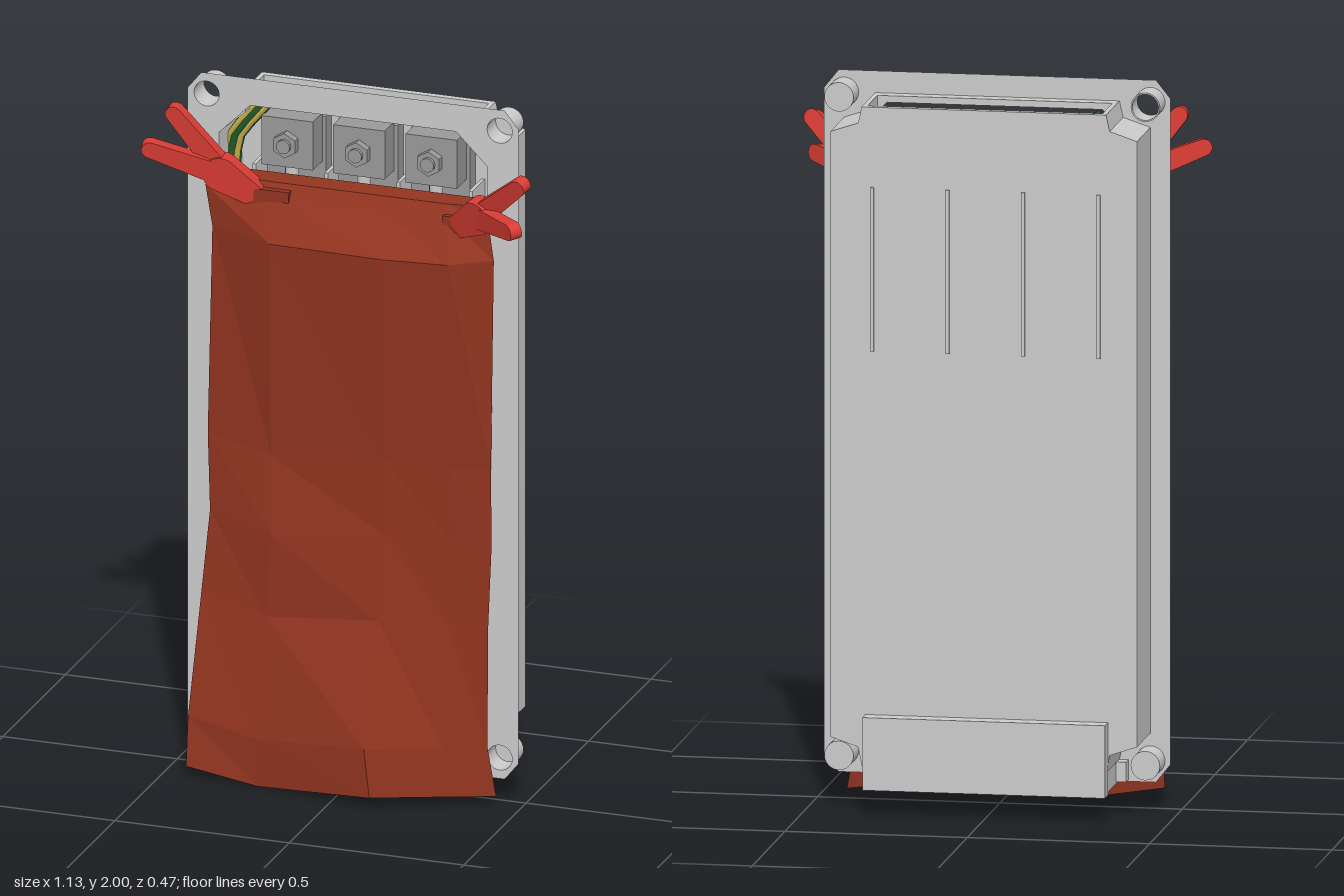
import * as THREE from 'three';

const mat = (color, extra = {}) => new THREE.MeshStandardMaterial({ color, ...extra });
const thin = { side: THREE.DoubleSide };
const grey = mat(0xcccccc, { flatShading: true });
const greyThin = mat(0xcccccc, thin);
const darkGrey = mat(0x999999, { flatShading: true });
const green = mat(0x1f5c2a, thin);
const yellow = mat(0xc8b04a, thin);
const clothRed = mat(0x923420, { flatShading: true, side: THREE.DoubleSide });
const clampRed = mat(0xd83c34, { flatShading: true });
const V = (x, y, z) => new THREE.Vector3(x, y, z);

function add(parent, name, geometry, material) {
  const mesh = new THREE.Mesh(geometry, material);
  mesh.name = name;
  parent.add(mesh);
  return mesh;
}

// Box given by its minimum and maximum corners
function box(parent, name, x0, x1, y0, y1, z0, z1, material = grey) {
  const g = new THREE.BoxGeometry(x1 - x0, y1 - y0, z1 - z0);
  g.translate((x0 + x1) / 2, (y0 + y1) / 2, (z0 + z1) / 2);
  return add(parent, name, g, material);
}

const poly = (pts) => pts.map(([x, y]) => new THREE.Vector2(x, y));

// Rectangle with cut corners
function octagon(x0, x1, y0, y1, cx, cy) {
  return poly([[x0 + cx, y0], [x1 - cx, y0], [x1, y0 + cy], [x1, y1 - cy],
    [x1 - cx, y1], [x0 + cx, y1], [x0, y1 - cy], [x0, y0 + cy]]);
}

function prism(parent, name, shape, z0, z1, material = grey, curveSegments = 12) {
  const g = new THREE.ExtrudeGeometry(shape, { depth: z1 - z0, bevelEnabled: false, curveSegments });
  return add(parent, name, g.translate(0, 0, z0), material);
}

function circleHole(x, y, r) {
  const p = new THREE.Path();
  p.absarc(x, y, r, 0, Math.PI * 2, true);
  return p;
}

function tube(parent, name, pts, r, material) {
  add(parent, name, new THREE.TubeGeometry(new THREE.CatmullRomCurve3(pts), 40, r, 8, false), material);
}

const bosses = [[-0.42, 1.94], [0.42, 1.94], [-0.42, 0.13], [0.42, 0.13]];

// Right half of the housing outline, notched beside the screw bosses
const halfOutline = [[0.335, 0.13], [0.345, 0.18], [0.42, 0.205], [0.42, 1.87], [0.345, 1.895], [0.335, 1.94]];
const mirrored = (pts) => pts.map(([x, y]) => [-x, y]);

function buildHousing() {
  const housing = new THREE.Group();
  housing.name = 'housing';
  housing.position.x = 0.01;
  const opening = () => new THREE.Path(octagon(-0.385, 0.385, 0.148, 1.922, 0.09, 0.09));

  // Front flange, a flat sheet with screw holes
  const flange = new THREE.Shape(octagon(-0.475, 0.475, 0.07, 2, 0.04, 0.05));
  flange.holes.push(opening(), ...bosses.map(([x, y]) => circleHole(x, y, 0.037)));
  add(housing, 'frontFlange', new THREE.ShapeGeometry(flange).translate(0, 0, 0.017), greyThin);

  // Front rim and back wall
  const outline = () => new THREE.Shape(poly([...halfOutline, ...mirrored(halfOutline).reverse()]));
  const rim = outline();
  rim.holes.push(opening());
  prism(housing, 'frontRim', rim, -0.022, 0.016);
  prism(housing, 'backWall', outline(), -0.19, -0.17);

  // Side walls thicken at the ends; the top and bottom stay open
  const wall = [...halfOutline, [0.322, 1.94], [0.322, 1.885], [0.385, 1.83], [0.385, 0.24], [0.322, 0.185], [0.322, 0.13]];
  for (const pts of [wall, mirrored(wall)]) {
    prism(housing, 'sideWall', new THREE.Shape(poly(pts)), -0.17, -0.022);
  }

  // Corner screw bosses; one is drilled right through
  bosses.forEach(([x, y], i) => {
    const ring = new THREE.Shape();
    ring.absarc(x, y, 0.04, 0, Math.PI * 2, false);
    ring.holes.push(circleHole(x, y, 0.036));
    prism(housing, 'screwBoss', ring, -0.063, 0.016, greyThin, 16);
    if (i > 0) {
      const cap = new THREE.CylinderGeometry(0.04, 0.04, 0.012, 24).rotateX(Math.PI / 2);
      add(housing, 'bossCap', cap.translate(x, y, -0.058), greyThin);
    }
  });

  // Cable guard around the bottom outlet
  box(housing, 'guardBack', -0.34, 0.325, 0.07, 0.27, -0.235, -0.19);
  for (const s of [-1, 1]) box(housing, 'guardSide', s * 0.32 - 0.012, s * 0.32 + 0.012, 0.07, 0.14, -0.19, 0.016);
  box(housing, 'bottomRail', -0.36, 0.36, 0.075, 0.13, -0.022, 0.016);

  // Dividers that pass through slots in the back wall
  for (let i = 0; i < 4; i++) {
    const x = -0.315 + i * 0.207;
    box(housing, 'divider', x - 0.005, x + 0.005, 1.27, 1.72, -0.198, -0.07);
  }
  return housing;
}

function buildTerminals() {
  const terminals = new THREE.Group();
  terminals.name = 'terminals';
  [-0.203, 0.003, 0.21].forEach((x, i) => {
    box(terminals, 'terminalBase', x - 0.085, x + 0.085, 1.28, 1.86, -0.168, -0.125, darkGrey);
    box(terminals, 'terminalBlock', x - 0.074, x + 0.074, 1.73, 1.87, -0.125, -0.05, darkGrey);
    const nut = new THREE.CylinderGeometry(0.036, 0.036, 0.025, 6).rotateX(Math.PI / 2);
    add(terminals, 'nut', nut.translate(x, 1.8, -0.038), darkGrey);
    const bolt = new THREE.CylinderGeometry(0.02, 0.02, 0.02, 12).rotateX(Math.PI / 2);
    add(terminals, 'bolt', bolt.translate(x, 1.8, -0.025), darkGrey);
    // Supply cables run down and gather at the outlet
    tube(terminals, 'cable', [V(x, 1.74, -0.09), V(x, 1.2, -0.09), V(x * 0.8, 0.6, -0.1),
      V(x * 0.6 + 0.02, 0.3, -0.09), V(0.03 + (i - 1) * 0.06, 0.09, -0.1)], 0.02, greyThin);
  });
  return terminals;
}

function buildEarthCable() {
  const earth = new THREE.Group();
  earth.name = 'earthCable';
  const path = (dx, dz) => [[-0.265, 1.915, -0.075], [-0.315, 1.855, -0.075], [-0.36, 1.79, -0.08], [-0.355, 1.2, -0.1],
    [-0.32, 0.5, -0.12], [-0.22, 0.22, -0.12], [-0.09, 0.07, -0.12]].map(([x, y, z]) => V(x + dx, y, z + dz));
  tube(earth, 'earthWire', path(0, 0), 0.024, green);
  for (const dx of [-0.016, 0.016]) tube(earth, 'earthStripe', path(dx, 0.014), 0.009, yellow);
  return earth;
}

// Hanging cover: each row holds left x, right x, y and the depth of five columns
function buildCover() {
  const rows = [
    [-0.3, 0.34, 1.62, [-0.04, -0.04, -0.04, -0.04, -0.04]],
    [-0.33, 0.36, 1.72, [-0.03, -0.03, -0.03, -0.03, -0.03]],
    [-0.4, 0.38, 1.715, [0.02, 0.03, 0.03, 0.03, 0.02]],
    [-0.41, 0.4, 1.68, [0.025, 0.05, 0.05, 0.05, 0.025]],
    [-0.385, 0.42, 1.57, [0.04, 0.12, 0.13, 0.11, 0.035]],
    [-0.4, 0.41, 0.96, [0.035, 0.07, 0.078, 0.055, 0.03]],
    [-0.39, 0.41, 0.74, [0.045, 0.092, 0.075, 0.045, 0.025]],
    [-0.41, 0.4, 0.5, [0.06, 0.085, 0.093, 0.05, 0.025]],
    [-0.43, 0.4, 0.16, [0.11, 0.13, 0.187, 0.085, 0.03]],
    [-0.43, 0.425, 0.022, [0.125, 0.125, 0.187, 0.087, 0.03]],
  ];
  const across = [0, 0.24, 0.64, 0.87, 1];
  const sag = [0.012, -0.02, 0.012, 0.005, 0];
  const pos = [], index = [];
  rows.forEach(([x0, x1, y, z], r) => z.forEach((d, c) => {
    pos.push(x0 + (x1 - x0) * across[c], y + (r > 4 ? sag[c] : 0), d);
    if (r < rows.length - 1 && c < 4) {
      const a = r * 5 + c;
      index.push(a, a + 5, a + 6, a, a + 6, a + 1);
    }
  }));
  const g = new THREE.BufferGeometry();
  g.setAttribute('position', new THREE.Float32BufferAttribute(pos, 3));
  g.setIndex(index);
  const flat = g.toNonIndexed();
  flat.computeVertexNormals();
  const cover = new THREE.Group();
  cover.name = 'cover';
  add(cover, 'hangingCover', flat, clothRed);
  return cover;
}

// Tapered bar with a rounded end running from a to b
function limb(parent, name, a, b, w0, w1, t) {
  const dir = b.clone().sub(a);
  const L = dir.length();
  const shape = new THREE.Shape();
  shape.moveTo(0, -w0 / 2);
  shape.lineTo(L - w1 / 2, -w1 / 2);
  shape.absarc(L - w1 / 2, 0, w1 / 2, -Math.PI / 2, Math.PI / 2, false);
  shape.lineTo(0, w0 / 2);
  const mesh = prism(parent, name, shape, -t / 2, t / 2, clampRed, 6);
  const x = dir.normalize();
  const z = V(0, 0, 1).addScaledVector(x, -x.z).normalize();
  mesh.geometry.applyMatrix4(new THREE.Matrix4().makeBasis(x, z.clone().cross(x), z).setPosition(a));
}

// Spring clamp: body gripping the cover, and two handles
function buildClamp(name, jaw, pivot, tips) {
  const clamp = new THREE.Group();
  clamp.name = name;
  limb(clamp, 'clampBody', jaw, pivot, 0.055, 0.1, 0.045);
  for (const tip of tips) limb(clamp, 'clampHandle', jaw.clone().lerp(pivot, 0.65), tip, 0.065, 0.046, 0.034);
  return clamp;
}

export function createModel() {
  const model = new THREE.Group();
  model.name = 'coveredJunctionBox';
  model.add(buildHousing(), buildTerminals(), buildEarthCable(), buildCover());
  model.add(buildClamp('rightClamp', V(-0.24, 1.665, 0.03), V(-0.395, 1.76, 0.06),
    [V(-0.558, 1.81, 0.12), V(-0.495, 1.915, 0.075)]));
  model.add(buildClamp('leftClamp', V(0.31, 1.655, 0.03), V(0.435, 1.74, 0.1),
    [V(0.552, 1.855, 0.155), V(0.552, 1.735, 0.225)]));
  // Clamp jaws gripping the top edge
  box(model, 'rightJaw', -0.26, -0.16, 1.655, 1.7, 0.01, 0.058, clothRed);
  box(model, 'leftJaw', 0.28, 0.34, 1.645, 1.69, 0.01, 0.058, clothRed);
  return model;
}
